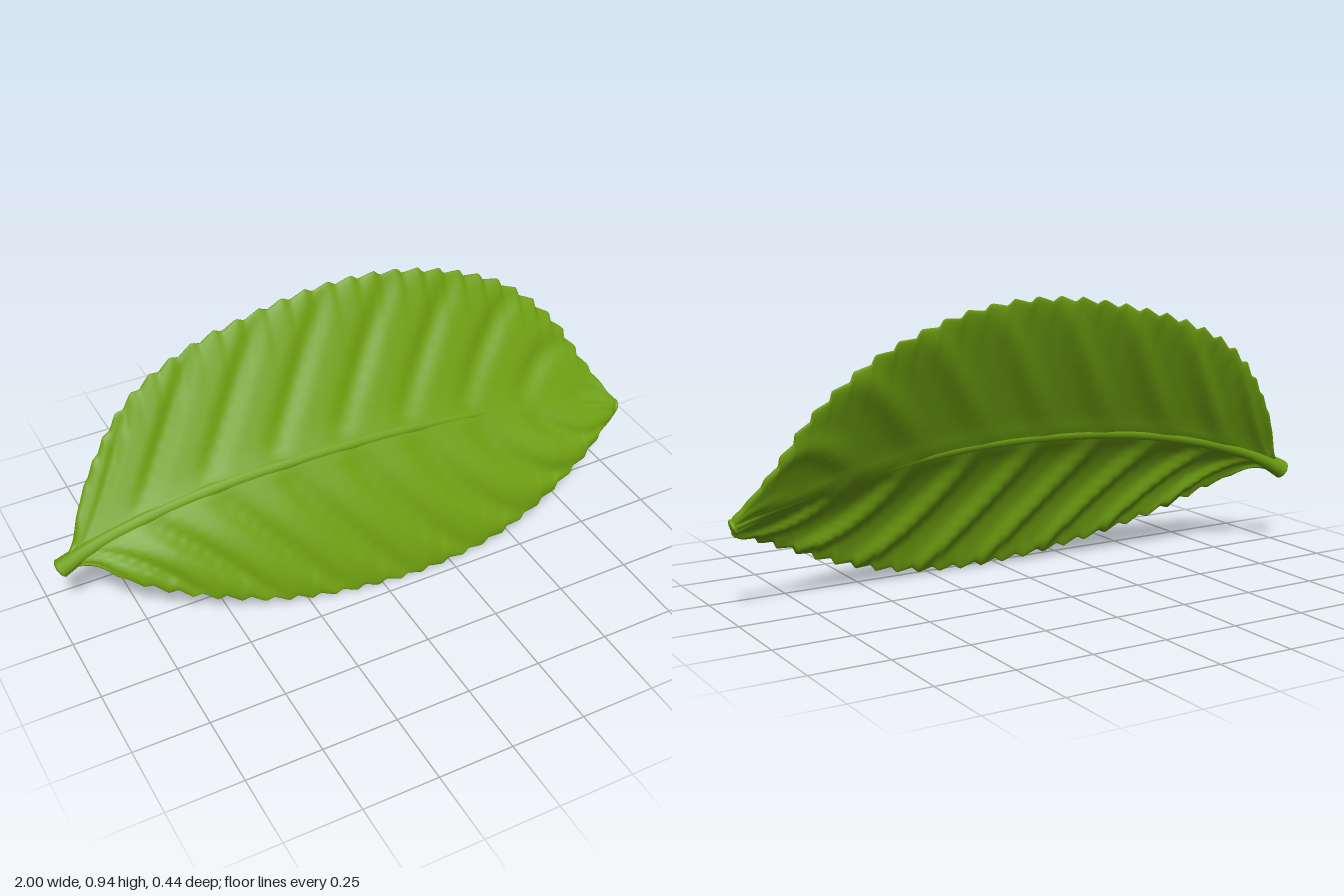
import * as THREE from 'three';

// Smooth interpolation through [x, value] pairs
function profile(pts) {
  const slope = pts.map((p, i) => {
    const a = pts[Math.max(i - 1, 0)], b = pts[Math.min(i + 1, pts.length - 1)];
    return (b[1] - a[1]) / (b[0] - a[0]);
  });
  return (x) => {
    let i = 0;
    while (i < pts.length - 2 && x > pts[i + 1][0]) i++;
    const [x0, y0] = pts[i], [x1, y1] = pts[i + 1], h = x1 - x0;
    const t = Math.min(Math.max((x - x0) / h, 0), 1), u = 1 - t;
    return y0 * (1 + 2 * t) * u * u + slope[i] * h * t * u * u
      + y1 * t * t * (3 - 2 * t) - slope[i + 1] * h * t * t * u;
  };
}

// Margins and midrib: height and depth along the leaf
const topY = profile([[-0.96, 0.315], [-0.93, 0.345], [-0.9, 0.42], [-0.8, 0.575], [-0.7, 0.69], [-0.6, 0.765],
  [-0.45, 0.835], [-0.3, 0.88], [-0.1, 0.922], [0.05, 0.935], [0.2, 0.928], [0.35, 0.898], [0.5, 0.845],
  [0.65, 0.765], [0.8, 0.62], [0.9, 0.455], [0.97, 0.345], [0.985, 0.325], [0.995, 0.295]]);
const topZ = profile([[-0.96, -0.065], [-0.93, -0.09], [-0.85, -0.15], [-0.7, -0.2], [-0.5, -0.217], [-0.2, -0.208],
  [0, -0.198], [0.3, -0.18], [0.6, -0.158], [0.8, -0.1], [0.9, -0.03], [0.97, 0.035], [0.995, 0.058]]);
const midY = profile([[-0.985, 0.272], [-0.9, 0.32], [-0.8, 0.36], [-0.6, 0.415], [-0.4, 0.45], [-0.2, 0.466],
  [0, 0.47], [0.2, 0.462], [0.4, 0.44], [0.6, 0.405], [0.8, 0.36], [0.95, 0.312], [0.995, 0.288]]);
const midZ = profile([[-0.985, -0.068], [-0.9, -0.058], [-0.6, -0.028], [-0.3, 0.002], [0, 0.02], [0.3, 0.03],
  [0.6, 0.028], [0.8, 0.03], [0.9, 0.04], [0.995, 0.058]]);
const lowY = profile([[-0.96, 0.27], [-0.89, 0.278], [-0.8, 0.232], [-0.6, 0.145], [-0.4, 0.082], [-0.2, 0.042],
  [0, 0.022], [0.2, 0.021], [0.4, 0.046], [0.6, 0.105], [0.8, 0.192], [0.9, 0.236], [0.98, 0.262], [0.995, 0.28]]);
const lowZ = profile([[-0.96, -0.06], [-0.9, -0.025], [-0.8, 0.05], [-0.6, 0.118], [-0.3, 0.183], [0, 0.21],
  [0.2, 0.217], [0.5, 0.205], [0.8, 0.145], [0.95, 0.08], [0.995, 0.058]]);

const N = 300, M = 32, RING = 2 * M;
const columnX = (i) => {
  const t = i / N, e = 0.5 - 0.5 * Math.cos(Math.PI * t);
  return -0.96 + 1.955 * (0.25 * t + 0.75 * e);
};

// Saw-tooth offsets along a margin, spaced by its length
function teeth(edge, side) {
  let length = 0;
  const out = [];
  for (let i = 0; i <= N; i++) {
    const x = columnX(i), a = columnX(Math.max(i - 1, 0)), b = columnX(Math.min(i + 1, N));
    if (i) length += Math.hypot(x - a, edge(x) - edge(a));
    const dx = b - a, dy = edge(b) - edge(a), l = Math.hypot(dx, dy);
    const p = (length / 0.078) % 1;
    const bump = p < 0.7 ? p / 0.7 : (1 - p) / 0.3;
    const fade = Math.min(1, Math.max(0, (x + 0.9) / 0.2)) * Math.min(1, Math.max(0, (0.98 - x) / 0.12));
    const d = side * fade * (0.018 * bump - 0.006);
    out.push([-dy / l * d, dx / l * d]);
  }
  return out;
}

// Closed blade with sunken side veins, swollen panels and toothed margins
function bladeGeometry() {
  const upper = teeth(topY, 1), lower = teeth(lowY, -1);
  const pos = [], index = [];
  const NY = 0.41, NZ = 0.91;
  for (let i = 0; i <= N; i++) {
    const x = columnX(i);
    const ends = Math.min(1, (x + 0.96) / 0.3, (0.995 - x) / 0.3);
    for (let j = 0; j < RING; j++) {
      const front = j <= M;
      const s = front ? -1 + 2 * j / M : 1 - 2 * (j - M) / M;
      const v = Math.sin(s * Math.PI / 2), a = Math.abs(v), up = v > 0;
      const tooth = (up ? upper : lower)[i], w = a ** 6;
      const y = THREE.MathUtils.lerp(midY(x), (up ? topY : lowY)(x), a);
      const z = THREE.MathUtils.lerp(midZ(x), (up ? topZ : lowZ)(x), a);
      const bow = (up ? -0.008 : 0.02) * 4 * a * (1 - a) * ends;
      const phase = (x - (up ? -0.08 + 0.3 * a : -0.27 + 0.36 * a ** 1.3)) / 0.225;
      const groove = (0.5 + 0.5 * Math.cos(2 * Math.PI * phase)) ** 3;
      const vein = (up ? 0.017 : 0.025) * (0.3 - groove) * (4 * a * (1 - a)) ** 0.8 * ends;
      const rib = 0.007 * Math.exp(-(((y - midY(x)) / 0.03) ** 2)) * ends;
      const half = 0.011 * Math.sqrt(Math.max(0, 1 - a ** 10)) + rib;
      const d = bow + vein + (front ? half : -half);
      pos.push(x + tooth[0] * w, y + tooth[1] * w + NY * d, z + NZ * d);
    }
  }
  for (let i = 0; i < N; i++) {
    for (let j = 0; j < RING; j++) {
      const k = (j + 1) % RING, a = i * RING + j, b = a + RING, c = (i + 1) * RING + k, d = i * RING + k;
      index.push(a, b, c, a, c, d);
    }
  }
  const g = new THREE.BufferGeometry();
  g.setAttribute('position', new THREE.Float32BufferAttribute(pos, 3));
  g.setIndex(index);
  g.computeVertexNormals();
  return g;
}

export function createModel() {
  const green = new THREE.MeshStandardMaterial({ color: 0x6f9f10 });
  green.name = 'leaf green';
  const leaf = new THREE.Group();
  leaf.name = 'leaf';
  const add = (name, geometry) => {
    const mesh = new THREE.Mesh(geometry, green);
    mesh.name = name;
    leaf.add(mesh);
    return mesh;
  };

  add('blade', bladeGeometry());

  // Midrib tapering from the stem to the tip
  const path = [];
  for (let i = 0; i <= 24; i++) {
    const x = -0.985 + 1.97 * i / 24;
    path.push(new THREE.Vector3(x, midY(x), midZ(x)));
  }
  const curve = new THREE.CatmullRomCurve3(path);
  const radius = profile([[0, 0.032], [0.03, 0.028], [0.08, 0.024], [0.3, 0.023], [0.6, 0.021], [0.85, 0.016], [1, 0.014]]);
  const tube = new THREE.TubeGeometry(curve, 96, 1, 12);
  const p = tube.attributes.position, v = new THREE.Vector3();
  for (let i = 0; i < p.count; i++) {
    const t = Math.floor(i / 13) / 96, c = curve.getPointAt(t);
    v.fromBufferAttribute(p, i).sub(c).multiplyScalar(radius(t)).add(c);
    p.setXYZ(i, v.x, v.y, v.z);
  }
  add('midrib', tube);

  // Softly domed ends of the stem and tip
  const dome = (name, t, r) => {
    const mesh = add(name, new THREE.SphereGeometry(r, 16, 10));
    mesh.position.copy(curve.getPointAt(t));
    mesh.lookAt(mesh.position.clone().add(curve.getTangentAt(t)));
    mesh.scale.z = 0.4;
  };
  dome('stemEnd', 0, 0.032);
  dome('leafTip', 1, 0.026);
  return leaf;
}
